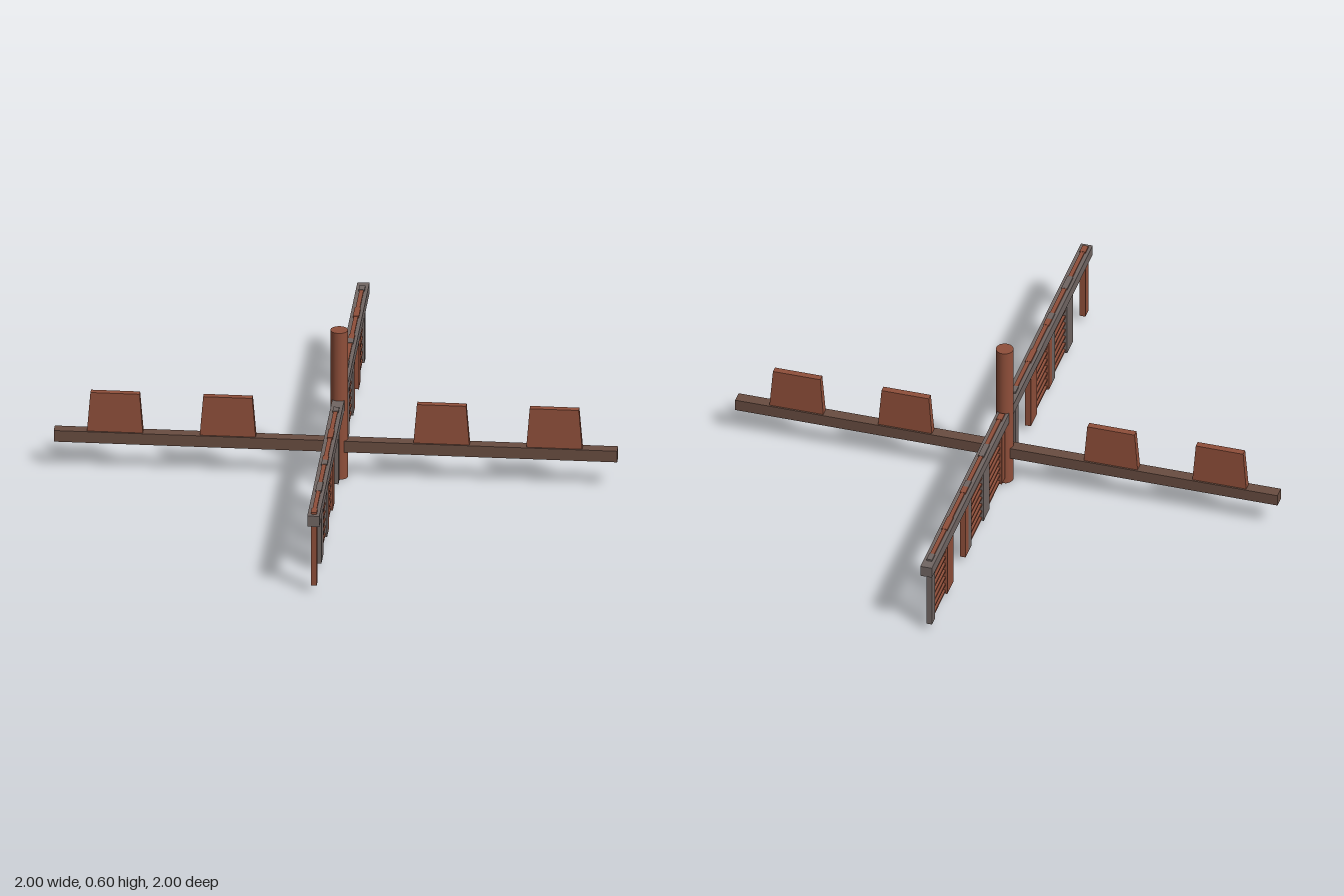
import * as THREE from 'three';

export function createModel() {
  const model = new THREE.Group();
  const red = new THREE.MeshStandardMaterial({ color: 0x8f4f3a, name: 'redWood' });
  const brown = new THREE.MeshStandardMaterial({ color: 0x694d41, name: 'brownWood' });
  const grey = new THREE.MeshStandardMaterial({ color: 0x716663, name: 'greyWood' });

  const add = (parent, name, geometry, material, x, y, z) => {
    const mesh = new THREE.Mesh(geometry, material);
    mesh.name = name;
    mesh.position.set(x, y, z);
    parent.add(mesh);
    return mesh;
  };
  // Box spanning y0..y1 and z0..z1, centred on x = 0
  const slab = (parent, name, material, width, y0, y1, z0, z1) =>
    add(parent, name, new THREE.BoxGeometry(width, y1 - y0, z1 - z0), material, 0, (y0 + y1) / 2, (z0 + z1) / 2);

  // Central post
  add(model, 'post', new THREE.CylinderGeometry(0.033, 0.033, 0.595, 16), red, 0.01, 0.2975, -0.02);

  // Lower beam with four tapered boards standing on it
  const lowerArm = new THREE.Group();
  lowerArm.name = 'lowerArm';
  lowerArm.rotation.y = 0.324;
  lowerArm.position.set(0, 0, -0.013);
  model.add(lowerArm);
  add(lowerArm, 'lowerBeam', new THREE.BoxGeometry(2.093, 0.045, 0.045), brown, 0, 0.132, 0);

  const board = new THREE.BoxGeometry(0.21, 0.17, 0.032);
  const p = board.attributes.position;
  for (let i = 0; i < p.count; i++) {
    if (p.getY(i) > 0) p.setXYZ(i, p.getX(i) * 0.87, p.getY(i), p.getZ(i) * 0.8);
  }
  board.computeVertexNormals();
  for (const s of [-0.82, -0.401, 0.393, 0.812]) add(lowerArm, 'board', board, red, s, 0.225, 0);

  // Upper beam with hanging panels
  const upperArm = new THREE.Group();
  upperArm.name = 'upperArm';
  upperArm.rotation.y = 0.324;
  upperArm.position.set(0.014, 0, -0.003);
  model.add(upperArm);
  slab(upperArm, 'upperBeam', grey, 0.045, 0.277, 0.32, -1.047, 1.047);

  // Each panel: two slats, a top rail and, on most, a ladder of thin rungs
  const panelWidth = 0.237, slatWidth = 0.039, slatDepth = 0.022;
  const slatColours = [[red, grey], [grey, grey], [red, red], [red, grey]];
  const hasRungs = [[false, true, true, false], [true, true, false, true]];
  [1.03, -0.058].forEach((start, half) => {
    slatColours.forEach(([outer, inner], i) => {
      const panel = new THREE.Group();
      panel.name = 'panel';
      upperArm.add(panel);
      const z1 = start - i * panelWidth, z0 = z1 - panelWidth;
      slab(panel, 'slat', outer, slatDepth, 0.03, 0.327, z1 - slatWidth, z1);
      slab(panel, 'slat', inner, slatDepth, 0.03, 0.327, z0, z0 + slatWidth);
      slab(panel, 'topRail', red, 0.016, 0.3, 0.326, z0 + slatWidth, z1 - slatWidth);
      if (!hasRungs[half][i]) return;
      for (let k = 0; k < 8; k++) {
        const y = 0.042 + k * 0.031;
        slab(panel, 'rung', red, 0.009, y - 0.004, y + 0.004, z0 + slatWidth, z1 - slatWidth);
      }
    });
  });

  return model;
}
